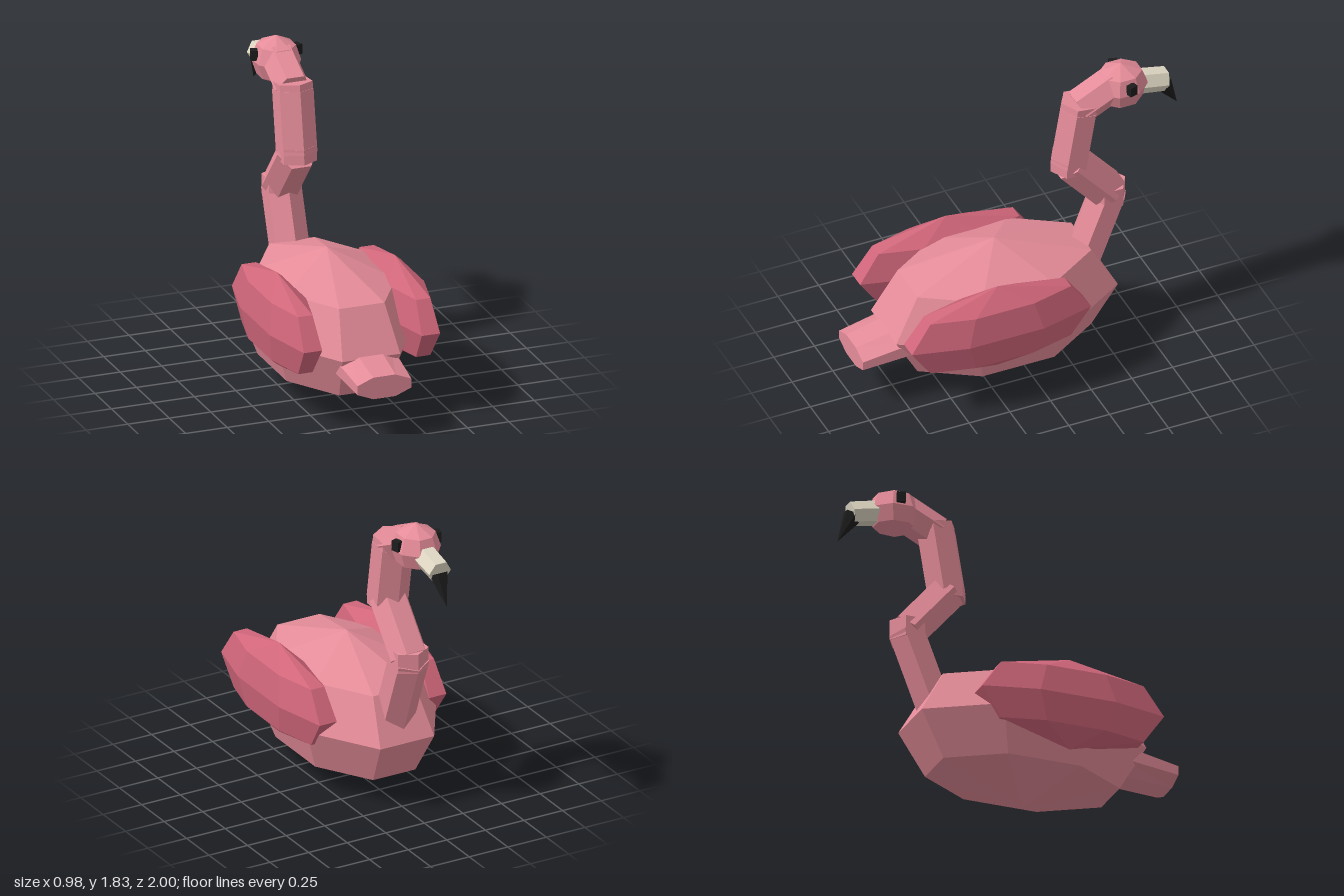
import * as THREE from 'three';

const mat = (color) => new THREE.MeshStandardMaterial({ color, flatShading: true });

export function createModel() {
  const model = new THREE.Group();
  const pink = mat(0xe58c99);
  const rose = mat(0xd0667a);
  const bone = mat(0xe0d8c4);
  const black = mat(0x1c1c1c);

  function add(name, geometry, material, x, y, z) {
    const mesh = new THREE.Mesh(geometry, material);
    mesh.name = name;
    mesh.position.set(x, y, z);
    model.add(mesh);
    return mesh;
  }

  // Eight-sided faceted ellipsoid; half sizes are measured to the flats
  function facetedBall(name, material, [x, y, z], [rx, ry, rz]) {
    const profile = [[0, -1], [0.785, -0.62], [1, 0], [0.785, 0.62], [0, 1]]
      .map(([r, h]) => new THREE.Vector2(r / Math.cos(Math.PI / 8), h));
    const geometry = new THREE.LatheGeometry(profile, 8, Math.PI / 8);
    geometry.scale(rx, ry, rz);
    return add(name, geometry, material, x, y, z);
  }

  // Six-sided rod between two [y, z] points on the centre plane
  function rod(name, material, a, b, rStart, rEnd, turn = 0) {
    const dy = b[0] - a[0], dz = b[1] - a[1];
    const geometry = new THREE.CylinderGeometry(rEnd, rStart, Math.hypot(dy, dz), 6, 1, false, turn);
    const mesh = add(name, geometry, material, 0, (a[0] + b[0]) / 2, (a[1] + b[1]) / 2);
    mesh.rotation.x = Math.atan2(dz, dy);
    return mesh;
  }

  // Body and wings
  facetedBall('body', pink, [0, 0.42, 0.12], [0.42, 0.42, 0.68]);
  for (const [side, s] of [['left', 1], ['right', -1]]) {
    facetedBall(side + 'Wing', rose, [s * 0.355, 0.512, 0.26], [0.133, 0.277, 0.55]);
  }

  // Tail: flattened octagonal stub, sheared so that its end is upright
  const tail = new THREE.CylinderGeometry(1, 1, 1, 8, 1, false, Math.PI / 8);
  tail.rotateX(Math.PI / 2);
  const p = tail.attributes.position;
  for (let i = 0; i < p.count; i++) {
    const end = p.getZ(i) > 0;
    const k = 1 / Math.cos(Math.PI / 8);
    p.setXYZ(i,
      p.getX(i) * k * (end ? 0.162 : 0.185),
      p.getY(i) * k * (end ? 0.065 : 0.1) + (end ? 0.32 : 0.37),
      end ? 1 : 0.62);
  }
  tail.computeVertexNormals();
  add('tail', tail, pink, 0, 0, 0);

  // Neck: four rods with a short collar at each bend
  const bends = [[0.52, -0.41], [0.96, -0.58], [1.24, -0.34], [1.6, -0.4], [1.71, -0.62]];
  const radii = [0.115, 0.117, 0.118, 0.105];
  for (let i = 0; i < 4; i++) {
    rod('neckSegment' + (i + 1), pink, bends[i], bends[i + 1], radii[i], radii[i], i % 2 ? Math.PI / 6 : 0);
  }
  rod('neckCollar1', pink, [0.9, -0.568], [1.02, -0.568], 0.115, 0.115);
  rod('neckCollar2', pink, [1.195, -0.338], [1.285, -0.342], 0.115, 0.115);
  rod('neckCollar3', pink, [1.58, -0.398], [1.645, -0.406], 0.115, 0.115);

  // Head and eyes
  facetedBall('head', pink, [0, 1.685, -0.655], [0.128, 0.145, 0.145]);
  for (const [side, s] of [['left', 1], ['right', -1]]) {
    const eye = add(side + 'Eye', new THREE.BoxGeometry(0.04, 0.06, 0.05), black, s * 0.129, 1.725, -0.667);
    eye.rotation.y = s * 0.3;
  }

  // Beak and hooked tip
  rod('beak', bone, [1.67, -0.75], [1.635, -0.925], 0.073, 0.07, Math.PI / 6);
  rod('beakTip', black, [1.62, -0.908], [1.45, -1.0], 0.058, 0, Math.PI / 6);

  return model;
}
